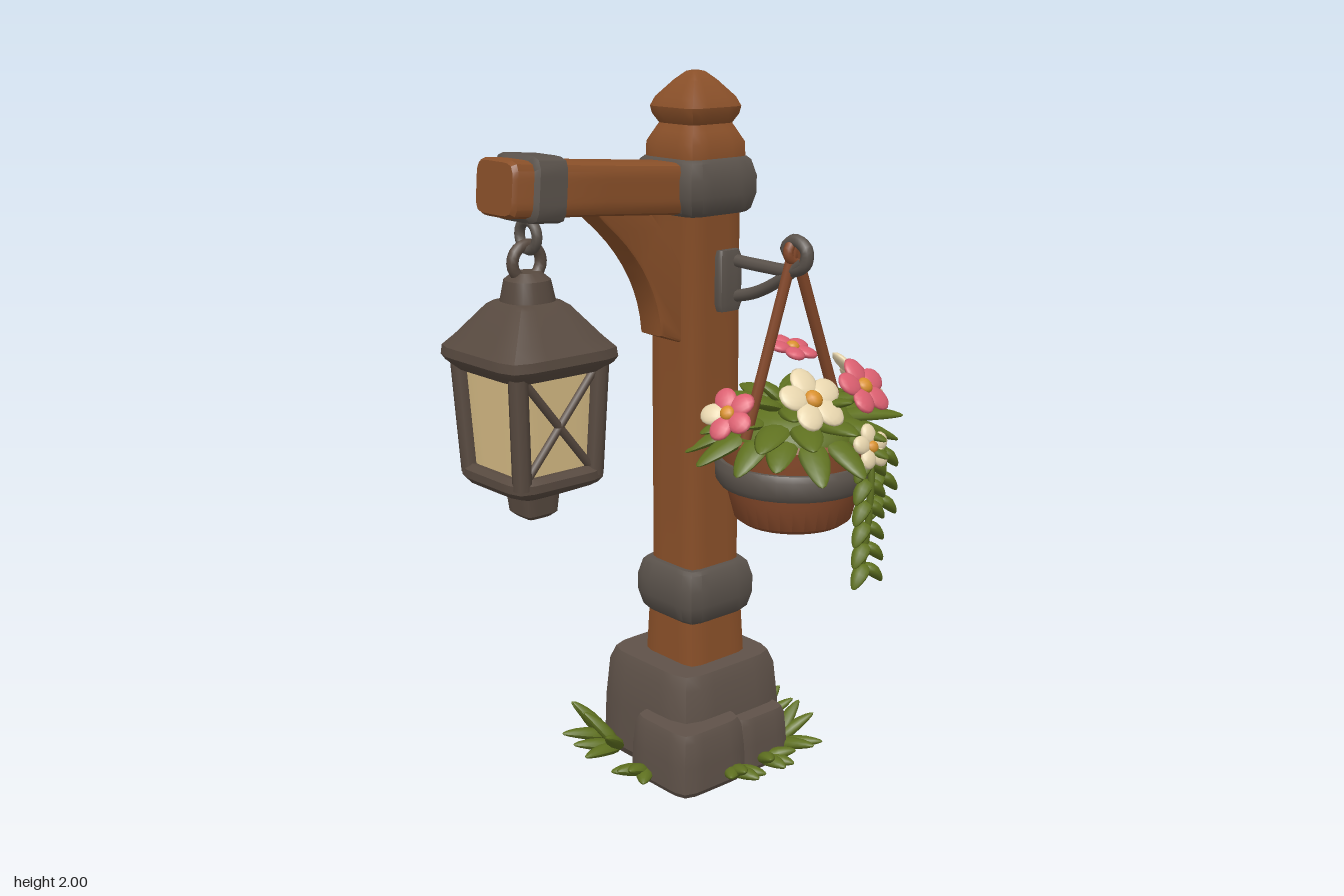
import * as THREE from 'three';
import { mergeVertices, toCreasedNormals } from 'three/addons/utils/BufferGeometryUtils.js';

const mat = (name, color) => new THREE.MeshStandardMaterial({ name, color });
const wood = mat('wood', 0x8a5029), clay = mat('clay', 0x874a2b), iron = mat('iron', 0x5b534c),
  stone = mat('stone', 0x5f5249), darkMetal = mat('darkMetal', 0x584a40), green = mat('leafGreen', 0x5f7120),
  pink = mat('petalPink', 0xdb5f70), cream = mat('petalCream', 0xe8d6ae), orange = mat('flowerOrange', 0xd8902c),
  glass = mat('lanternGlass', 0xd8bd86);

const V = (x, y, z) => new THREE.Vector3(x, y, z);
function add(parent, name, geo, material, x = 0, y = 0, z = 0) {
  const m = new THREE.Mesh(geo, material);
  m.name = name;
  m.position.set(x, y, z);
  parent.add(m);
  return m;
}
function group(parent, name, x = 0, y = 0, z = 0) {
  const g = new THREE.Group();
  g.name = name;
  g.position.set(x, y, z);
  parent.add(g);
  return g;
}
// Rounded-square solid of [half width, y] rings, closed at both ends
function squareLoft(profile, p = 8) {
  const pts = [[0, profile[0][1]], ...profile, [0, profile.at(-1)[1]]];
  let g = new THREE.LatheGeometry(pts.map(q => new THREE.Vector2(...q)), 32);
  const a = g.attributes.position;
  for (let i = 0; i < a.count; i++) {
    const x = a.getX(i), z = a.getZ(i), r = Math.hypot(x, z);
    if (r < 1e-6) continue;
    const k = Math.pow(Math.abs(x / r) ** p + Math.abs(z / r) ** p, -1 / p);
    a.setX(i, x * k);
    a.setZ(i, z * k);
  }
  g.deleteAttribute('uv');
  g.deleteAttribute('normal');
  return toCreasedNormals(mergeVertices(g, 1e-5), 0.6);
}
function tube(parent, name, points, r, material) {
  const c = new THREE.CatmullRomCurve3(points);
  return add(parent, name, new THREE.TubeGeometry(c, points.length * 6, r, 8), material);
}
function rod(parent, name, a, b, r, material) {
  const d = b.clone().sub(a), m = add(parent, name, new THREE.CylinderGeometry(r, r, d.length(), 8), material);
  m.position.copy(a).lerp(b, 0.5);
  m.quaternion.setFromUnitVectors(V(0, 1, 0), d.normalize());
  return m;
}

// Leaf of unit length along +y, narrowed at the base and pointed at the tip
const leafGeo = new THREE.SphereGeometry(0.5, 10, 8).translate(0, 0.5, 0);
{
  const a = leafGeo.attributes.position;
  for (let i = 0; i < a.count; i++) {
    const y = a.getY(i), k = 1.15 - 0.55 * y;
    a.setXYZ(i, a.getX(i) * k, y, a.getZ(i) * k - 0.5 * (y - 0.5) ** 2);
  }
  leafGeo.computeVertexNormals();
}
function leaf(parent, pos, dir, len, width) {
  const m = add(parent, 'leaf', leafGeo, green);
  const y = dir.clone().normalize();
  const x = y.clone().cross(Math.abs(y.y) > 0.9 ? V(0, 0, 1) : V(0, 1, 0)).normalize();
  m.quaternion.setFromRotationMatrix(new THREE.Matrix4().makeBasis(x, y, x.clone().cross(y)));
  m.scale.set(width, len, 0.04);
  m.position.copy(pos);
}
function flower(parent, x, y, z, normal, r, colors) {
  const f = group(parent, 'flower', x, y, z);
  f.quaternion.setFromUnitVectors(V(0, 0, 1), normal.normalize());
  for (let i = 0; i < 5; i++) {
    const t = i * Math.PI * 0.4 + 0.3;
    const p = add(f, 'petal', new THREE.SphereGeometry(1, 12, 8), colors[i % colors.length],
      Math.cos(t) * r * 0.56, Math.sin(t) * r * 0.56, 0.006);
    p.scale.set(r * 0.47, r * 0.4, 0.014);
    p.rotation.z = t;
  }
  add(f, 'flowerCentre', new THREE.SphereGeometry(r * 0.27, 12, 8), orange, 0, 0, 0.012).scale.z = 0.7;
}

export function createModel() {
  const root = new THREE.Group();
  root.name = 'lanternPost';
  const px = 0.11, pz = -0.095;

  // Foundation stones
  const block = squareLoft([[0.94, 0], [1, 0.08], [0.98, 0.5], [0.93, 0.88], [0.86, 1]], 7);
  [[0.105, -0.105, 0.205, 0.315, 0.205], [-0.03, 0.035, 0.128, 0.185, 0.13], [0.17, 0.06, 0.1, 0.165, 0.095]]
    .forEach(([x, z, hx, h, hz]) => add(root, 'foundationStone', block, stone, x, 0, z).scale.set(hx, h, hz));

  // Post, finial and iron bands
  add(root, 'post', squareLoft([[0.113, 0.25], [0.104, 0.45], [0.094, 0.6], [0.094, 1.62], [0.106, 1.76],
    [0.104, 1.81], [0.088, 1.84], [0.077, 1.86], [0.092, 1.885], [0.096, 1.905], [0.085, 1.93], [0.045, 1.975],
    [0.02, 1.997], [0.008, 2]]), wood, px, 0, pz);
  const band = squareLoft([[0.108, -0.08], [0.118, -0.07], [0.13, -0.025], [0.13, 0.025], [0.118, 0.07], [0.108, 0.08]]);
  add(root, 'lowerBand', band, iron, px, 0.525, pz);
  add(root, 'upperBand', band, iron, px, 1.695, pz).scale.y = 0.95;

  // Sloping beam with its band
  const beam = group(root, 'beamArm', -0.56, 1.738, pz);
  beam.rotation.z = -Math.PI / 2 - 0.08;
  add(beam, 'beam', squareLoft([[0.066, 0], [0.073, 0.012], [0.07, 0.3], [0.07, 0.62]], 6), wood).scale.z = 1.17;
  add(beam, 'beamBand', squareLoft([[0.072, 0.06], [0.085, 0.07], [0.085, 0.155], [0.072, 0.165]], 6), iron).scale.z = 1.16;

  // Curved brace under the beam
  const s = new THREE.Shape();
  s.moveTo(-0.28, 1.66);
  s.quadraticCurveTo(-0.06, 1.5, -0.045, 1.3);
  s.lineTo(0.03, 1.27);
  s.lineTo(0.03, 1.44);
  s.quadraticCurveTo(-0.02, 1.55, -0.12, 1.66);
  add(root, 'brace', toCreasedNormals(new THREE.ExtrudeGeometry(s, { depth: 0.07, bevelSize: 0.01, bevelThickness: 0.012,
    bevelSegments: 2, curveSegments: 10 }), 0.7), wood, 0, 0, pz - 0.035);

  // Lantern
  const lan = group(root, 'lantern', -0.445, 0, -0.125);
  add(lan, 'lanternBase', squareLoft([[0.035, 0.847], [0.05, 0.86], [0.055, 0.91], [0.09, 0.925], [0.135, 0.945],
    [0.146, 0.96], [0.146, 0.982], [0.13, 0.995]]), darkMetal);
  add(lan, 'lanternRoof', squareLoft([[0.15, 1.255], [0.172, 1.275], [0.181, 1.29], [0.178, 1.315], [0.15, 1.345],
    [0.085, 1.425], [0.07, 1.435]]), darkMetal);
  add(lan, 'lanternNeck', squareLoft([[0.07, 1.42], [0.068, 1.44], [0.058, 1.49], [0.035, 1.51]], 2.5), darkMetal);
  add(lan, 'lanternGlass', squareLoft([[0.116, 0.98], [0.13, 1.27]], 20), glass);
  for (const a of [-1, 1]) for (const b of [-1, 1]) {
    rod(lan, 'cornerPost', V(a * 0.117, 0.97, b * 0.117), V(a * 0.131, 1.28, b * 0.131), 0.026, darkMetal);
    rod(lan, 'crossBar', V(-a * 0.105, 0.99, b * 0.118), V(a * 0.115, 1.26, b * 0.131), 0.012, darkMetal);
  }
  add(lan, 'hangingRing', new THREE.TorusGeometry(0.045, 0.016, 8, 20), darkMetal, 0, 1.535, 0);
  const link = add(lan, 'hangingLink', new THREE.TorusGeometry(0.038, 0.014, 8, 20), iron, 0, 1.605, 0.01);
  link.rotation.y = Math.PI / 2;

  // Scrolled iron brackets on front and back
  for (const [side, z0, reach] of [[1, 0, 0.25], [-1, -0.19, 0.19]]) {
    const b = group(root, side > 0 ? 'frontBracket' : 'backBracket', 0.16, 0, z0);
    const P = (d, y) => V(0, y, side * d);
    tube(b, 'scrollArm', [P(-0.02, 1.49), P(reach * 0.5, 1.487), P(reach - 0.01, 1.49), P(reach + 0.035, 1.51),
      P(reach + 0.04, 1.55), P(reach, 1.572), P(reach - 0.035, 1.55), P(reach - 0.015, 1.527)], 0.018, iron);
    tube(b, 'strut', [P(0, 1.385), P(reach * 0.4, 1.412), P(reach * 0.8, 1.462), P(reach + 0.03, 1.515)], 0.017, iron);
    add(b, 'wallPlate', squareLoft([[0.035, 1.35], [0.042, 1.37], [0.042, 1.5], [0.035, 1.52]], 5), iron, -0.02, 0, 0)
      .scale.z = 0.6;
  }

  // Hanging pot with band and straps
  const bx = 0.265, bz = 0.15;
  const basket = group(root, 'hangingBasket', bx, 0, bz);
  const lathe = pts => toCreasedNormals(new THREE.LatheGeometry(pts.map(q => new THREE.Vector2(...q)), 32), 0.7);
  add(basket, 'pot', lathe([[0, 0.752], [0.15, 0.752], [0.168, 0.765], [0.188, 0.84], [0.202, 0.9], [0.21, 1.0],
    [0.19, 1.02], [0, 1.02]]), clay);
  add(basket, 'potBand', lathe([[0.19, 0.86], [0.21, 0.862], [0.222, 0.88], [0.224, 0.92], [0.215, 0.938], [0.19, 0.94]]), iron);
  const top = V(0.165, 1.555, 0.24);
  rod(root, 'leftStrap', top, V(0.06, 1.03, 0.17), 0.016, clay);
  rod(root, 'rightStrap', top, V(0.375, 1.05, 0.22), 0.016, clay);
  add(root, 'strapKnot', new THREE.TorusGeometry(0.024, 0.014, 8, 16), clay, 0.165, 1.54, 0.24);

  // Foliage mound and rings of leaves: [count, radius, height, rise, length, width]
  const foliage = group(basket, 'foliage');
  add(foliage, 'mound', new THREE.SphereGeometry(0.2, 20, 12), green, 0, 1.0, 0).scale.y = 0.55;
  [[15, 0.15, 1.03, -0.5, 0.17, 0.095], [13, 0.12, 1.06, -0.1, 0.17, 0.1], [8, 0.06, 1.09, 0.2, 0.15, 0.1],
    [4, 0.02, 1.09, 0.7, 0.1, 0.08]].forEach(([n, r, y, rise, len, w], ring) => {
    for (let i = 0; i < n; i++) {
      const t = (i + ring * 0.5) / n * Math.PI * 2, c = Math.cos(t), q = Math.sin(t);
      leaf(foliage, V(c * r, y, q * r), V(c, rise + 0.15 * Math.sin(i * 2.4), q), len * (1 + 0.1 * Math.sin(i * 1.7)), w);
    }
  });

  // Trailing vines
  for (const [x, z, y1, n] of [[0.06, 0.23, 0.66, 6], [0.155, 0.19, 0.83, 3]]) {
    const v = group(basket, 'vine');
    tube(v, 'stem', [V(x * 0.7, 1.02, z * 0.7), V(x, 0.97, z), V(x, (0.97 + y1) / 2, z + 0.01), V(x, y1, z - 0.01)], 0.01, green);
    for (let i = 0; i < n; i++) for (const k of [-1, 1])
      leaf(v, V(x, 0.97 - (0.97 - y1) * i / (n - 1), z), V(k * 0.8, -0.75, 0.15), 0.085, 0.055);
  }

  // Flowers
  const blooms = group(root, 'flowers');
  flower(blooms, 0.19, 1.135, 0.29, V(-0.1, 0.7, 0.75), 0.1, [cream]);
  flower(blooms, 0.39, 1.14, 0.29, V(0.1, 0.65, 0.75), 0.09, [pink]);
  flower(blooms, 0.55, 1.11, 0.12, V(0.75, 0.65, 0.2), 0.1, [cream, cream, pink, cream, pink]);
  flower(blooms, 0.015, 1.1, 0.15, V(-0.7, 0.6, 0.25), 0.08, [pink, pink, cream, pink, pink]);
  flower(blooms, 0.38, 1.205, 0.02, V(0.1, 0.95, 0.3), 0.075, [pink]);
  flower(blooms, 0.325, 1.0, 0.385, V(0, 0.35, 0.9), 0.065, [cream]);

  // Grass tufts round the foundation: [x, z, outward angle]
  const tufts = group(root, 'grass');
  [[-0.08, -0.28, 4.1], [0.07, -0.3, 4.9], [-0.1, -0.2, 3.2], [0.29, -0.25, 5.7], [0.29, -0.03, 0.3],
    [0.26, 0.09, 0.7], [0.17, 0.14, 1.4], [0.05, 0.14, 1.7], [-0.14, -0.03, 3.0]].forEach(([x, z, a], n) => {
    for (let i = 0; i < 4; i++) {
      const t = a + (i - 1.5) * 0.45, rise = [0.25, 1.1, 0.7, 0.15][(i + n) % 4] * (n > 5 ? 0.4 : 1);
      leaf(tufts, V(x, 0.025, z), V(Math.cos(t), rise, Math.sin(t)), n > 5 ? 0.1 : 0.15, 0.055);
    }
  });
  return root;
}
